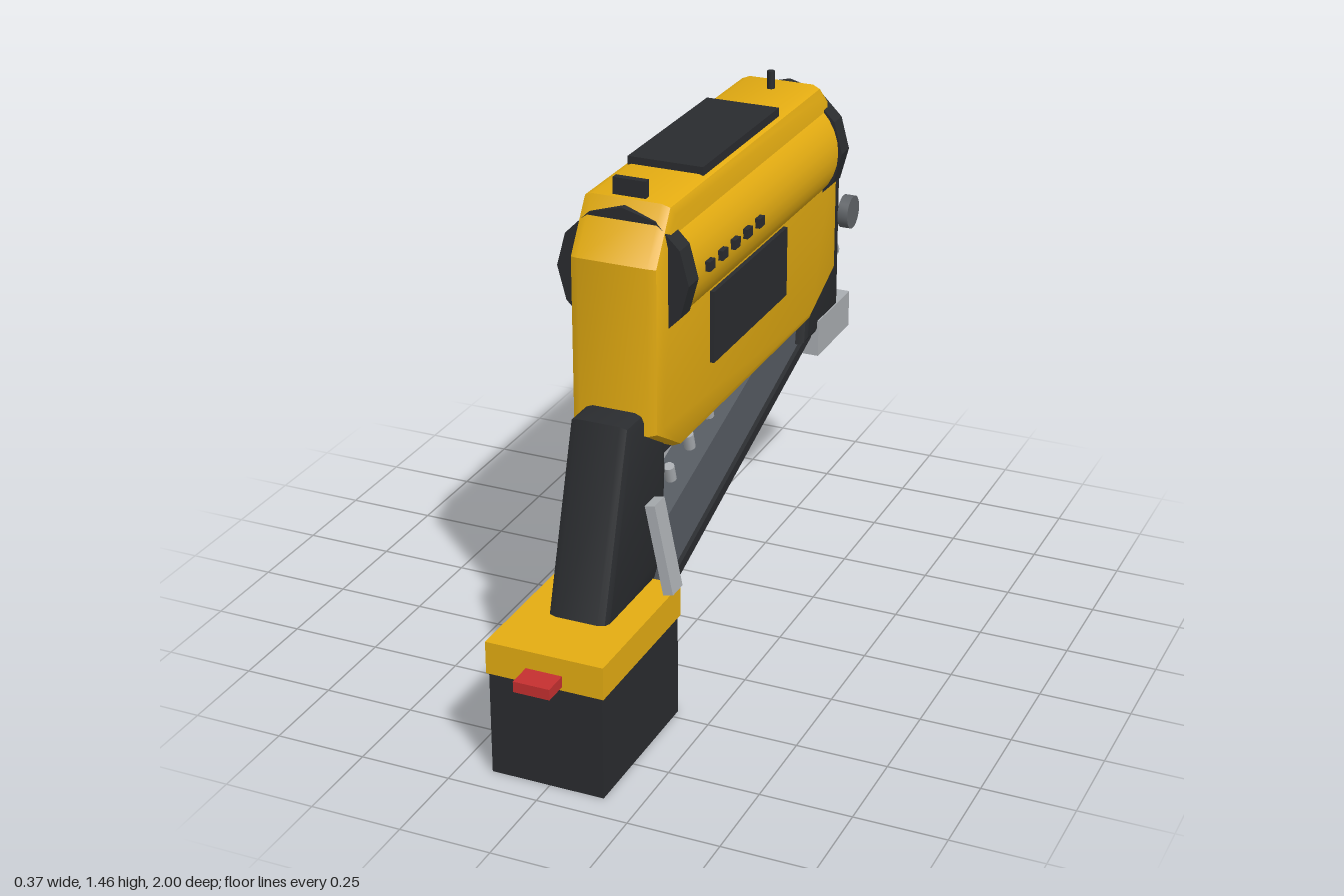
import * as THREE from 'three';
import { toCreasedNormals } from 'three/addons/utils/BufferGeometryUtils.js';

const mat = (color) => new THREE.MeshStandardMaterial({ color });

export function createModel() {
  const yellow = mat(0xe5ad12), dark = mat(0x2a2c2f), steel = mat(0x565b62);
  const silver = mat(0xaaaeb2), red = mat(0xc63030), knobGrey = mat(0x606468);

  const model = new THREE.Group();
  model.name = 'nailGun';
  const tool = new THREE.Group();
  tool.name = 'tool';
  tool.position.x = -0.006;
  model.add(tool);

  const add = (name, geometry, material, x = 0, y = 0, z = 0) => {
    const mesh = new THREE.Mesh(geometry, material);
    mesh.name = name;
    mesh.position.set(x, y, z);
    tool.add(mesh);
    return mesh;
  };
  // Box given by its centre and size
  const box = (name, material, [x, y, z], size) =>
    add(name, new THREE.BoxGeometry(...size), material, x, y, z);
  // Side outline of [z, y] points, extruded across x with bevelled edges
  const slab = (name, material, points, width, bevel = 0) => {
    const shape = new THREE.Shape(points.map(([z, y]) => new THREE.Vector2(z, y)));
    const depth = width - 2 * bevel;
    const g = new THREE.ExtrudeGeometry(shape, {
      depth, bevelEnabled: bevel > 0, bevelSize: bevel, bevelThickness: bevel,
      bevelOffset: -bevel, bevelSegments: 2,
    });
    g.translate(0, 0, -depth / 2).rotateY(-Math.PI / 2);
    return add(name, toCreasedNormals(g, 0.5), material);
  };
  // Cylinder lying along z between two positions
  const rod = (name, material, r, y, z0, z1, sides) => {
    const g = new THREE.CylinderGeometry(r, r, Math.abs(z1 - z0), sides).rotateX(Math.PI / 2);
    return add(name, toCreasedNormals(g, 0.45), material, 0, y, (z0 + z1) / 2);
  };

  // Main housing
  slab('housing', yellow, [
    [0.51, 0.81], [0.51, 1.265], [0.42, 1.405], [-0.59, 1.405],
    [-0.735, 1.275], [-0.735, 0.81], [-0.54, 0.72], [0.36, 0.72],
  ], 0.25, 0.03);

  // Air cylinder through the housing, with faceted end collars
  rod('airCylinder', yellow, 0.17, 1.21, 0.41, -0.62, 32);
  rod('frontCollar', dark, 0.181, 1.21, 0.45, 0.39, 12);
  rod('rearCollar', dark, 0.181, 1.21, -0.6, -0.655, 12);

  // Side panels and vents on both sides
  for (const side of [1, -1]) {
    box('sidePanel', dark, [side * 0.126, 0.99, -0.06], [0.022, 0.2, 0.5]);
    for (let i = 0; i < 5; i++)
      box('vent', dark, [side * 0.17, 1.215, 0.305 - i * 0.081], [0.025, 0.026, 0.034]);
  }

  // Top panel and sights
  box('topPanel', dark, [0, 1.41, -0.063], [0.21, 0.03, 0.505]);
  box('frontSight', dark, [0, 1.42, 0.395], [0.09, 0.06, 0.02]);
  add('rearSight', new THREE.CylinderGeometry(0.011, 0.011, 0.08, 10), dark, 0, 1.415, -0.515);

  // Grip
  slab('grip', dark, [
    [0.755, 0.35], [0.6, 0.87], [0.38, 0.87], [0.365, 0.66], [0.385, 0.42], [0.45, 0.35],
  ], 0.168, 0.025);
  const hook = box('beltHook', silver, [0.153, 0.53, 0.546], [0.028, 0.25, 0.06]);
  hook.rotation.z = 0.2;

  // Trigger and guard
  slab('trigger', red, [[0.365, 0.74], [0.355, 0.665], [0.305, 0.665], [0.28, 0.74]], 0.06);
  box('triggerGuard', dark, [0, 0.66, 0.26], [0.06, 0.025, 0.24]);

  // Battery and its mount
  box('batteryMount', yellow, [0, 0.335, 0.697], [0.325, 0.09, 0.465]);
  box('battery', dark, [0, 0.145, 0.697], [0.313, 0.29, 0.455]);
  box('batteryRelease', red, [0, 0.316, 0.955], [0.1, 0.03, 0.09]);

  // Sloping magazine, bottom rail and row of nails
  const slope = 0.326;
  slab('magazine', steel, [
    [0.49, 0.22], [0.49, 0.42], [0.39, 0.445], [-0.55, 0.735], [-0.68, 0.76], [-0.68, 0.61],
  ], 0.1);
  slab('magazineRail', dark, [[0.49, 0.19], [0.49, 0.222], [-0.7, 0.628], [-0.7, 0.597]], 0.124);
  for (let i = 0; i < 6; i++) {
    const z = 0.292 - i * 0.1255;
    const nail = add('nail', new THREE.CylinderGeometry(0.016, 0.016, 0.07, 10), silver,
      0, 0.485 + i * 0.0405, z);
    nail.rotation.x = Math.atan(slope);
  }

  // Nose, muzzle, contact foot and depth knob
  slab('nose', dark, [
    [-0.6, 0.61], [-0.62, 0.75], [-0.69, 1.155], [-0.867, 1.155], [-0.867, 0.61],
  ], 0.162, 0.02);
  rod('muzzle', silver, 0.03, 0.756, -0.84, -1, 20);
  box('contactFoot', silver, [0, 0.595, -0.82], [0.17, 0.11, 0.25]);
  const knob = add('depthKnob',
    toCreasedNormals(new THREE.CylinderGeometry(0.048, 0.048, 0.03, 24), 0.5),
    knobGrey, 0.15, 0.985, -0.745);
  knob.rotation.z = Math.PI / 2;

  return model;
}
